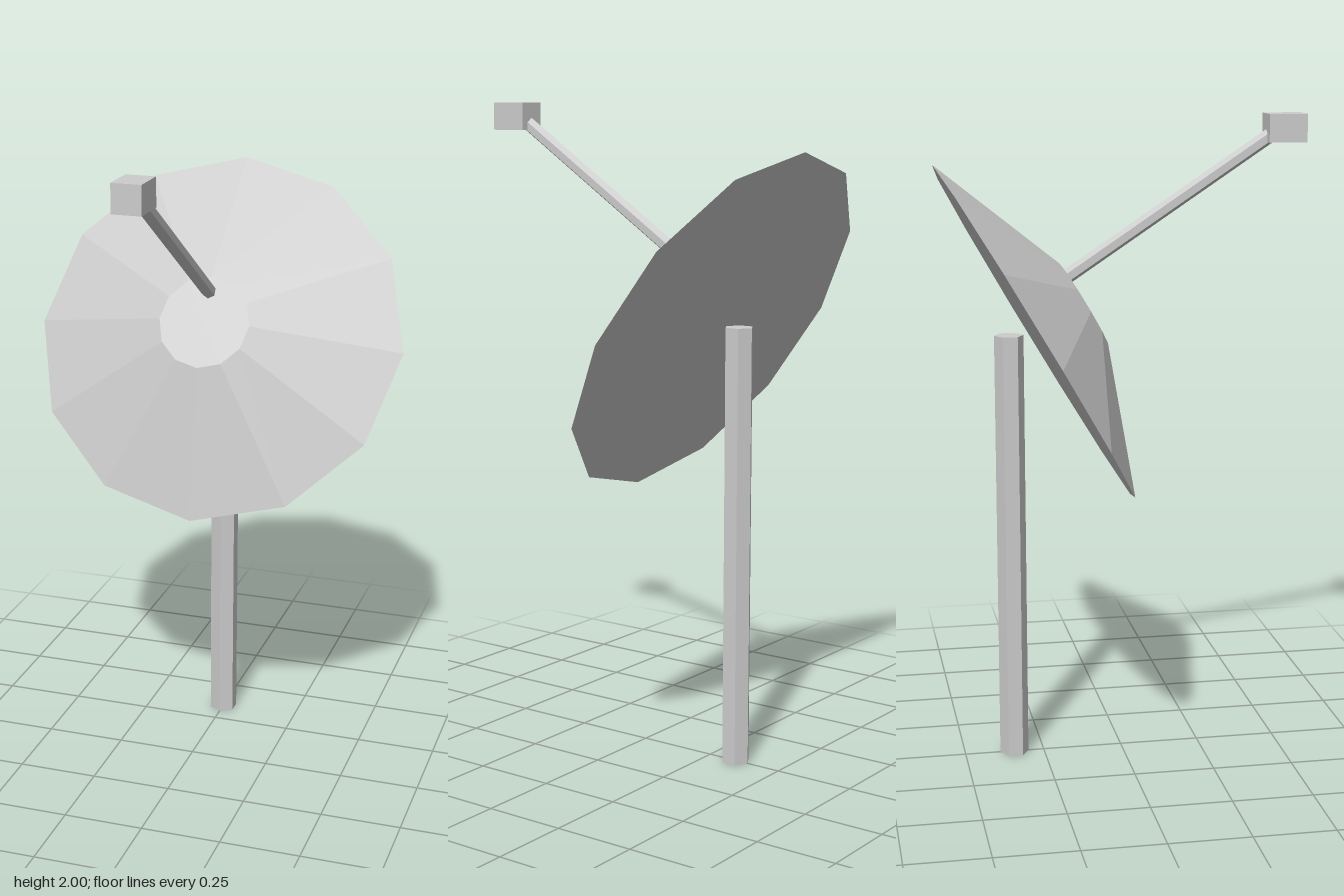
import * as THREE from 'three';

export function createModel() {
  const model = new THREE.Group();
  const metal = new THREE.MeshStandardMaterial({ color: 0xcccccc, flatShading: true });
  metal.name = 'light grey metal';

  const add = (name, geometry, x, y, z) => {
    const mesh = new THREE.Mesh(geometry, metal);
    mesh.name = name;
    mesh.position.set(x, y, z);
    model.add(mesh);
    return mesh;
  };

  // Hexagonal post standing behind the dish
  add('post', new THREE.CylinderGeometry(0.045, 0.045, 1.345, 6), 0, 0.6725, -0.344);

  // Twelve-sided dish: a shallow closed frustum tilted upward by 30 degrees
  const depth = 0.176;
  const dishGeometry = new THREE.CylinderGeometry(0.145, 0.595, depth, 12);
  dishGeometry.translate(0, depth / 2, 0);
  const dish = add('dish', dishGeometry, 0, 1.346, -0.267);
  dish.rotation.x = Math.PI / 3;

  // Feed arm from the dish centre up to the receiver
  const start = new THREE.Vector3(0, 1.516, -0.169);
  const end = new THREE.Vector3(0, 1.957, 0.495);
  const span = end.clone().sub(start);
  const middle = start.clone().add(end).multiplyScalar(0.5);
  const arm = add('feedArm', new THREE.CylinderGeometry(0.0225, 0.0225, span.length(), 6),
    middle.x, middle.y, middle.z);
  arm.rotation.x = Math.atan2(span.z, span.y);

  // Receiver box at the end of the arm
  add('receiver', new THREE.BoxGeometry(0.088, 0.085, 0.118), 0, 1.9575, 0.507);

  return model;
}
